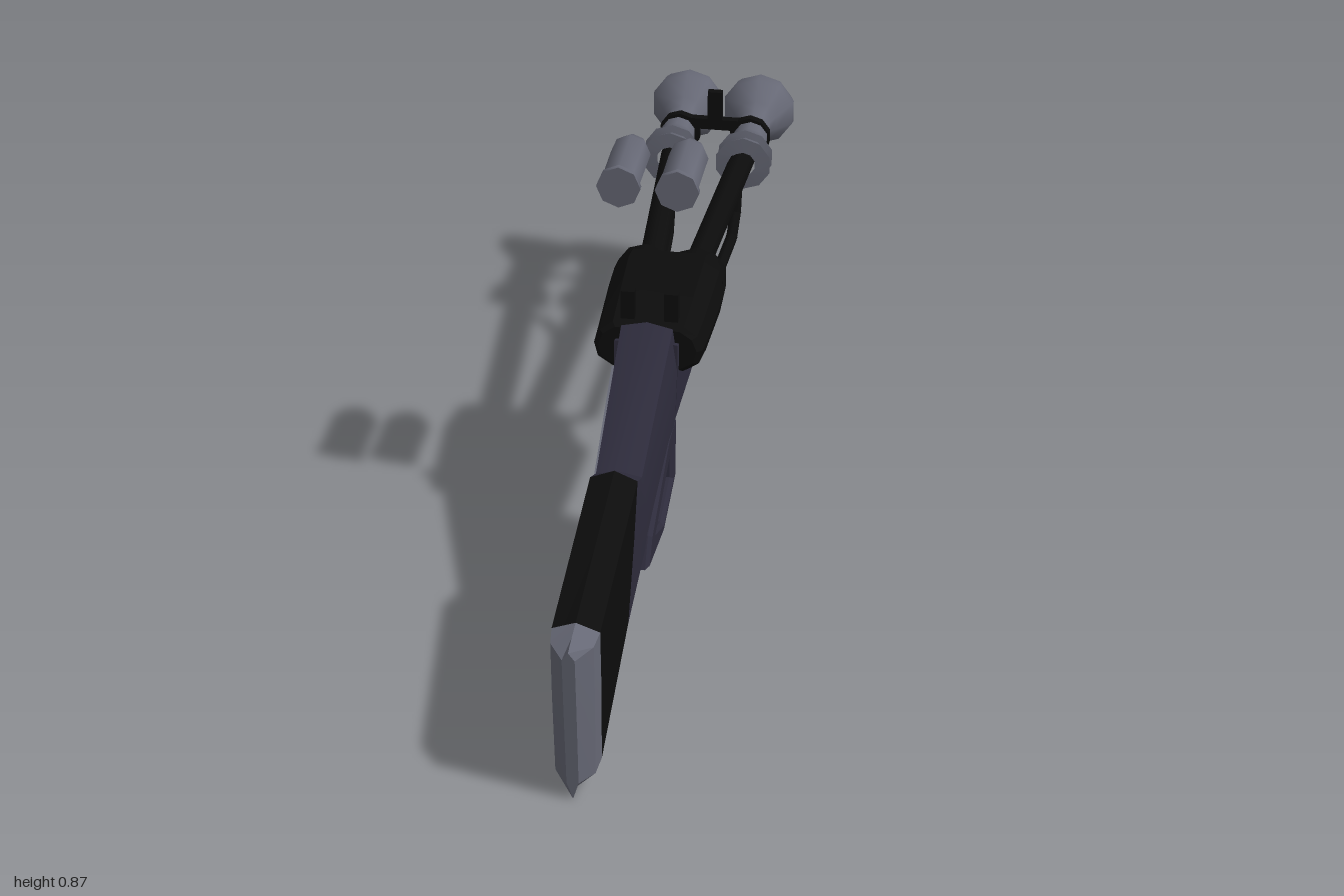
import * as THREE from 'three';
import { toCreasedNormals } from 'three/addons/utils/BufferGeometryUtils.js';

const makeMaterial = (name, color) => {
  const m = new THREE.MeshStandardMaterial({ color });
  m.name = name;
  return m;
};

// Skin closed rings of [x, y, z], ordered from +z to -z, counterclockwise seen from +z
function loft(rings) {
  const n = rings[0].length, pos = rings.flat(2), idx = [];
  for (let i = 0; i < rings.length - 1; i++) {
    for (let j = 0; j < n; j++) {
      const a = i * n + j, b = i * n + (j + 1) % n, d = a + n, c = b + n;
      idx.push(a, d, b, b, d, c);
    }
  }
  const last = (rings.length - 1) * n;
  for (let j = 1; j < n - 1; j++) idx.push(0, j, j + 1, last, last + j + 1, last + j);
  const g = new THREE.BufferGeometry();
  g.setAttribute('position', new THREE.Float32BufferAttribute(pos, 3));
  g.setIndex(idx);
  return toCreasedNormals(g, 0.45);
}

// Ridged section between a top and a bottom point of the side outline
function stockRing([tz, ty, bz, by, w, topW = w]) {
  const at = (x, t) => [x, by + (ty - by) * t, bz + (tz - bz) * t];
  return [at(0, 0), at(w * 0.95, 0.11), at(w, 0.6), at(topW, 0.95), at(0, 1),
    at(-topW, 0.95), at(-w, 0.6), at(-w * 0.95, 0.11)];
}

// Lathe along -z from [radius, distance] pairs
function turned(profile, sides) {
  const g = new THREE.LatheGeometry(profile.map(p => new THREE.Vector2(...p)), sides);
  g.rotateX(-Math.PI / 2);
  return toCreasedNormals(g, 0.85);
}

function rod(a, b, r, sides = 8) {
  const A = new THREE.Vector3(...a), B = new THREE.Vector3(...b), d = B.clone().sub(A);
  const g = new THREE.CylinderGeometry(r, r, d.length(), sides);
  g.applyQuaternion(new THREE.Quaternion().setFromUnitVectors(new THREE.Vector3(0, 1, 0), d.normalize()));
  const m = A.add(B).multiplyScalar(0.5);
  return g.translate(m.x, m.y, m.z);
}

// Side outline in [z, y] extruded across x
function sidePlate(outline, x0, x1, hole, bevel = 0) {
  const pts = list => list.map(([z, y]) => new THREE.Vector2(-z, y));
  const shape = new THREE.Shape(pts(outline));
  if (hole) shape.holes.push(new THREE.Path(pts(hole)));
  const g = new THREE.ExtrudeGeometry(shape, { depth: x1 - x0 - 2 * bevel, bevelEnabled: bevel > 0,
    bevelSize: bevel, bevelOffset: -bevel, bevelThickness: bevel, bevelSegments: 1 });
  return g.rotateY(Math.PI / 2).translate(x0 + bevel, 0, 0);
}

export function createModel() {
  const group = new THREE.Group();
  const grey = makeMaterial('steel grey', 0x666875);
  const indigo = makeMaterial('dark indigo', 0x2d2b3b);
  const black = makeMaterial('black', 0x0c0c0c);
  const add = (name, geometry, material) => {
    const m = new THREE.Mesh(geometry, material);
    m.name = name;
    group.add(m);
    return m;
  };

  // Stock: butt plate, dark rear section, grip and fore-end
  const plateFront = [0.92, 0.362, 0.9, 0.01, 0.045];
  const gripRear = [0.5, 0.425, 0.62, 0.115, 0.046];
  add('buttPlate', loft([[1, 0.35, 0.97, 0, 0.012], [0.96, 0.357, 0.94, 0.004, 0.04], plateFront].map(stockRing)), grey);
  add('rearStock', loft([plateFront, gripRear].map(stockRing)), black);
  add('grip', loft([gripRear, [0.45, 0.392, 0.42, 0.19, 0.052, 0.045],
    [0.11, 0.53, 0.12, 0.297, 0.064, 0.052]].map(stockRing)), indigo);
  add('foreEnd', loft([[0.125, 0.5, 0.13, 0.3, 0.064], [-0.2, 0.41, -0.14, 0.295, 0.064],
    [-0.215, 0.405, -0.2, 0.37, 0.05]].map(stockRing)), indigo);

  // Broad trigger guard with an opening through it
  add('triggerGuard', sidePlate(
    [[0.46, 0.175], [0.27, 0.14], [0.11, 0.18], [0.11, 0.32], [0.2, 0.32], [0.42, 0.23]],
    -0.06, 0.06, [[0.37, 0.205], [0.27, 0.165], [0.15, 0.195], [0.14, 0.29]], 0.008), indigo);
  add('trigger', sidePlate([[0.37, 0.21], [0.26, 0.217], [0.17, 0.255], [0.165, 0.29]], -0.02, 0.012), grey);

  // Two inlaid strips, on the right side only
  for (const [y, h] of [[0.43, 0.02], [0.385, 0.032]]) {
    const a = y + h / 2, b = y - h / 2;
    const strip = add('sideStrip', sidePlate([[0.14, a], [0.14, b], [0.47, b - 0.122], [0.47, a - 0.122]], -0.004, 0.004), grey);
    strip.position.x = -0.0625;
    // follow the narrowing of the grip
    const p = strip.geometry.attributes.position;
    for (let i = 0; i < p.count; i++) p.setX(i, p.getX(i) + (p.getZ(i) - 0.14) * 0.033);
  }

  // Receiver: wide rounded block ending in two lobes
  const receiverRing = ([z, w, top, bottom]) => {
    const h = top - bottom;
    const half = [[0.65, 0], [0.93, 0.2], [1, 0.5], [0.9, 0.8], [0.65, 1]];
    const right = half.map(([x, t]) => [x * w, bottom + t * h, z]);
    return [...right, ...right.map(([x, y]) => [-x, y, z]).reverse()];
  };
  add('receiver', loft([[0.108, 0.1, 0.512, 0.425], [0.095, 0.11, 0.517, 0.415], [0.02, 0.114, 0.522, 0.4],
    [-0.14, 0.12, 0.537, 0.393], [-0.185, 0.118, 0.53, 0.396]].map(receiverRing)), black);

  // Front sight and clamp joining the barrels
  add('clampBar', new THREE.BoxGeometry(0.16, 0.025, 0.018).translate(0, 0.5, -0.84), black);
  add('frontSight', new THREE.BoxGeometry(0.032, 0.09, 0.016).translate(0, 0.535, -0.838), black);

  const muzzleProfile = [[0.028, 0], [0.062, 0.002], [0.046, 0.038], [0.062, 0.042], [0.042, 0.085],
    [0.038, 0.1], [0.038, 0.19], [0.05, 0.21], [0.08, 0.26], [0.082, 0.275], [0.074, 0.3],
    [0.05, 0.3], [0.04, 0.28], [0.036, 0.24]];
  const shellProfile = [[0, 0], [0.044, 0], [0.044, 0.012], [0.039, 0.016], [0.04, 0.15],
    [0.03, 0.175], [0.014, 0.192], [0, 0.195]];
  const handleLine = [[-0.225, 0.45], [-0.24, 0.375], [-0.285, 0.322], [-0.615, 0.338], [-0.655, 0.38], [-0.67, 0.45]];
  const barrelX = z => 0.047 + (-z - 0.24) * 0.062;

  for (const side of [1, -1]) {
    // Barrel, its lobe and flared muzzle
    add('receiverLobe', turned([[0, 0], [0.064, 0], [0.062, 0.06], [0.04, 0.09], [0.026, 0.092]], 10), black)
      .position.set(side * 0.054, 0.465, -0.155);
    add('barrel', rod([side * barrelX(-0.15), 0.465, -0.15], [side * 0.077, 0.473, -0.74], 0.028), black);
    add('muzzle', turned(muzzleProfile, 10), grey).position.set(side * 0.081, 0.475, -0.7);
    add('bore', new THREE.CircleGeometry(0.045, 10).rotateY(Math.PI), black)
      .position.set(side * 0.081, 0.475, -0.96);
    add('clampRing', new THREE.CylinderGeometry(0.046, 0.046, 0.018, 10).rotateX(Math.PI / 2), black)
      .position.set(side * 0.078, 0.475, -0.84);

    // Handle loop under the barrel
    for (let i = 0; i < handleLine.length - 1; i++) {
      const [a, b] = [handleLine[i], handleLine[i + 1]].map(([z, y]) => [side * barrelX(z), y, z]);
      add('handleLoop', rod(a, b, 0.013, 6), black);
      if (i) add('handleJoint', new THREE.SphereGeometry(0.013, 6, 4), black).position.set(...a);
    }

    // Rear sight post and floating shell
    add('rearSight', new THREE.BoxGeometry(0.028, 0.08, 0.02).translate(side * 0.044, 0.54, 0.072), black);
    add('shell', turned(shellProfile, 8), grey).position.set(side * 0.058, 0.822, 0.1);
  }
  return group;
}
